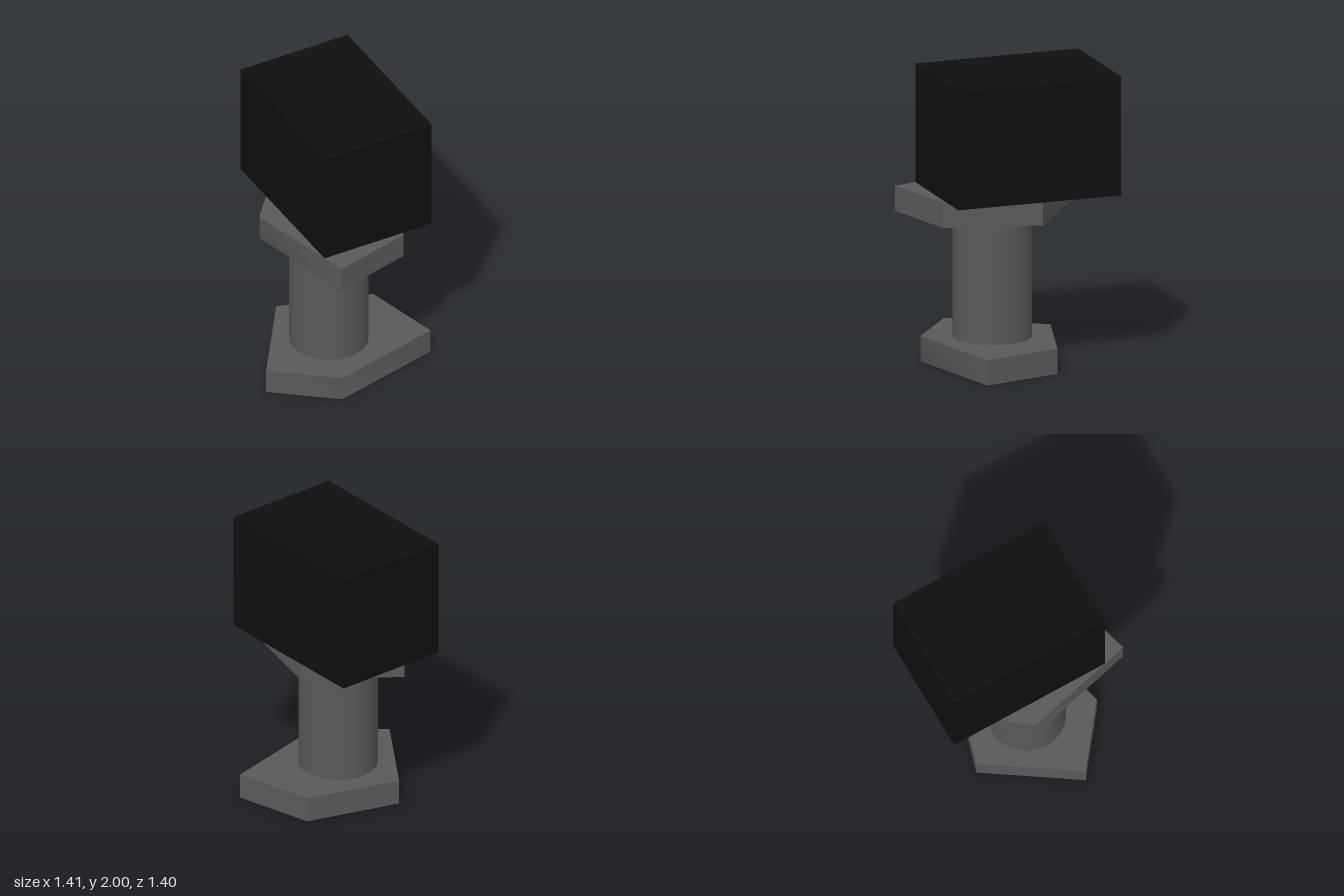
import * as THREE from 'three';
import { toCreasedNormals } from 'three/addons/utils/BufferGeometryUtils.js';

const grey = new THREE.MeshStandardMaterial({ name: 'dark grey', color: 0x595959 });
const black = new THREE.MeshStandardMaterial({ name: 'black', color: 0x0f0f0f });

const PLATE = 0.172; // plate thickness

// Irregular five-sided plate; outline is [x, z] corners, bottom is its lowest y
function makePlate(name, outline, bottom) {
  const shape = new THREE.Shape(outline.map(([x, z]) => new THREE.Vector2(x, z)));
  const geometry = new THREE.ExtrudeGeometry(shape, { depth: PLATE, bevelEnabled: false });
  geometry.rotateX(Math.PI / 2).translate(0, bottom + PLATE, 0);
  // only the bluntest corners are shaded smoothly
  const mesh = new THREE.Mesh(toCreasedNormals(geometry, THREE.MathUtils.degToRad(58)), grey);
  mesh.name = name;
  return mesh;
}

export function createModel() {
  const model = new THREE.Group();
  model.name = 'pedestalBlock';

  // Foot plate and top plate
  model.add(makePlate('footPlate',
    [[0.615, -0.19], [0.307, 0.541], [-0.185, 0.675], [-0.425, -0.01], [0.1, -0.405]], 0));
  model.add(makePlate('topPlate',
    [[0.588, 0.178], [0.373, 0.7], [-0.365, 0.39], [-0.492, -0.13], [0.165, -0.335]], 1.018));

  // Round column between the plates
  const column = new THREE.Mesh(
    new THREE.CylinderGeometry(0.263, 0.263, 1.018 - PLATE, 64), grey);
  column.name = 'column';
  column.position.set(0.033, (1.018 + PLATE) / 2, 0.152);
  model.add(column);

  // Large block turned on top
  const block = new THREE.Mesh(new THREE.BoxGeometry(1.15, 0.81, 0.81), black);
  block.name = 'block';
  block.position.set(0, 1.595, -0.032);
  block.rotation.y = -0.637;
  model.add(block);

  return model;
}
